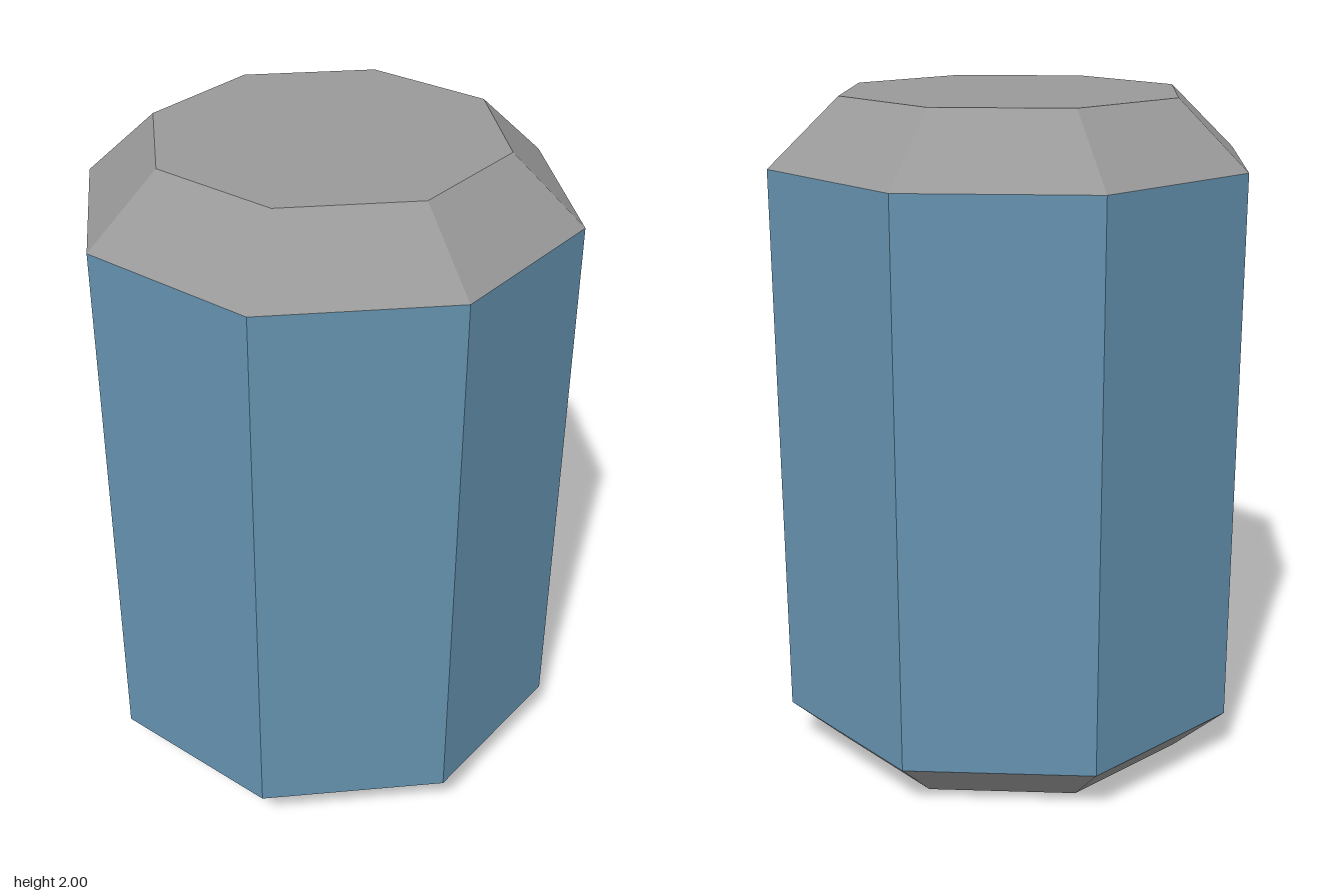
import * as THREE from 'three';

const SIDES = 8;
const TO_CORNER = 1 / Math.cos(Math.PI / SIDES); // flat-to-centre distance -> corner radius

export function createModel() {
  const blue = new THREE.MeshStandardMaterial({ color: 0x6592af });
  blue.name = 'blue';
  const grey = new THREE.MeshStandardMaterial({ color: 0x999999 });
  grey.name = 'grey';

  const group = new THREE.Group();
  group.name = 'barrel';

  // One octagonal ring with flat faces toward the axes; keeps only the wall unless capped
  function addRing(name, rBottom, rTop, y0, y1, material, open) {
    const geometry = new THREE.CylinderGeometry(
      rTop * TO_CORNER, rBottom * TO_CORNER, y1 - y0, SIDES, 1, open, Math.PI / SIDES
    ).toNonIndexed();
    geometry.computeVertexNormals(); // faceted sides
    const mesh = new THREE.Mesh(geometry, material);
    mesh.name = name;
    mesh.position.y = (y0 + y1) / 2;
    group.add(mesh);
  }

  addRing('bottomCap', 0.525, 0.67, 0, 0.145, grey, false);
  addRing('body', 0.67, 0.67, 0.145, 1.805, blue, true);
  addRing('topCap', 0.67, 0.475, 1.805, 2, grey, false);

  return group;
}
